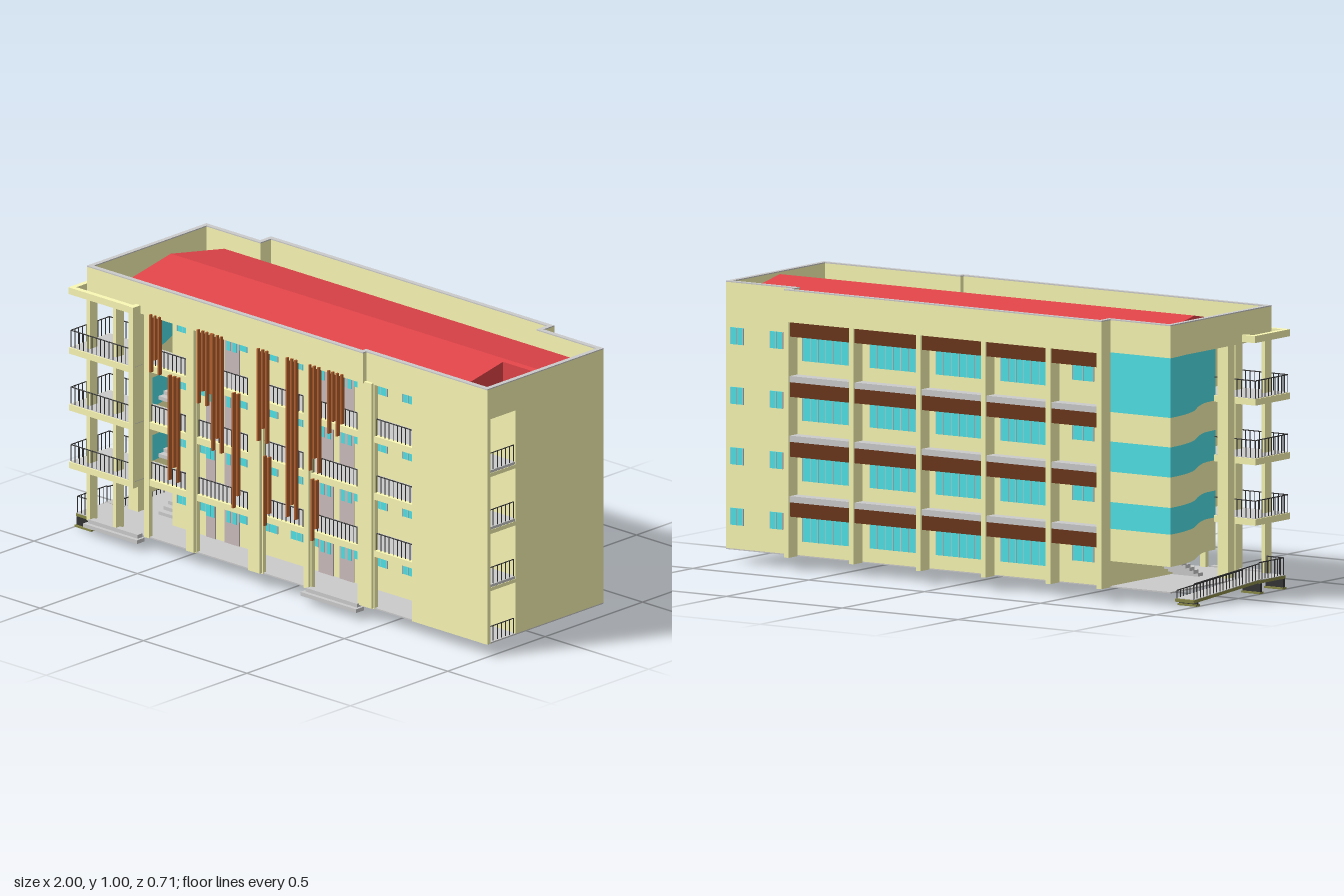
import * as THREE from 'three';

const mat = (color, double) => new THREE.MeshStandardMaterial({ color, side: double ? THREE.DoubleSide : THREE.FrontSide });
const WALL = mat(0xfbf9b5, true), GREY = mat(0xc8c8c8), RED = mat(0xe04448, true), BROWN = mat(0x6a3517), SLAT = mat(0xb5602f);
const GLASS = mat(0x4fe3e7, true), RAIL = mat(0x333333), DOOR = mat(0xcbbcbc), OLIVE = mat(0x8a8a48);

// Floor levels and ceiling levels of the four storeys
const FLOORS = [0.05, 0.265, 0.48, 0.692];
const CEILS = [0.242, 0.455, 0.668, 0.882];
// Openings of the front gallery: [x0, x1, door side]
const BAYS = [[-0.635, -0.45, 1], [-0.405, -0.15, -1], [-0.085, 0.12, 1], [0.15, 0.38, -1], [0.455, 0.635, 1]];

export function createModel() {
  const model = new THREE.Group();
  const group = (name) => {
    const g = new THREE.Group();
    g.name = name;
    model.add(g);
    return g;
  };
  // Box from its limits
  const box = (parent, name, m, x0, x1, y0, y1, z0, z1) => {
    const mesh = new THREE.Mesh(new THREE.BoxGeometry(x1 - x0, y1 - y0, z1 - z0), m);
    mesh.position.set((x0 + x1) / 2, (y0 + y1) / 2, (z0 + z1) / 2);
    mesh.name = name;
    parent.add(mesh);
    return mesh;
  };
  // Upright extrusion of a plan outline given as [x, z]; a hole runs the opposite way round
  const plan = (parent, name, m, pts, y0, y1, hole) => {
    const v = (list) => list.map(([x, z]) => new THREE.Vector2(x, -z));
    const shape = new THREE.Shape(v(pts));
    if (hole) shape.holes.push(new THREE.Path(v(hole).reverse()));
    const geo = new THREE.ExtrudeGeometry(shape, { depth: y1 - y0, bevelEnabled: false });
    geo.rotateX(-Math.PI / 2).translate(0, y0, 0);
    const mesh = new THREE.Mesh(geo, m);
    mesh.name = name;
    parent.add(mesh);
  };
  // Straight railing between two plan points, with separate end heights
  const railing = (parent, xa, za, xb, zb, ya, yb = ya, h = 0.062) => {
    const len = Math.hypot(xb - xa, zb - za), n = Math.max(2, Math.round(len / 0.02));
    for (let i = 0; i <= n; i++) {
      const t = i / n, x = xa + (xb - xa) * t, z = za + (zb - za) * t, y = ya + (yb - ya) * t;
      box(parent, 'baluster', RAIL, x - 0.0012, x + 0.0012, y, y + h, z - 0.0012, z + 0.0012);
    }
    const path = new THREE.LineCurve3(new THREE.Vector3(xa, ya + h, za), new THREE.Vector3(xb, yb + h, zb));
    const bar = new THREE.Mesh(new THREE.TubeGeometry(path, 1, 0.002, 6), RAIL);
    bar.name = 'handrail';
    parent.add(bar);
  };

  // Ground slab and entrance steps
  const base = group('base');
  box(base, 'groundSlab', GREY, -0.92, 1, 0.046, 0.051, -0.3, 0.294);
  for (const [x0, x1] of [[-0.92, -0.66], [0.13, 0.4]]) {
    box(base, 'lowerStep', GREY, x0, x1, 0.028, 0.042, 0.294, 0.333);
    box(base, 'upperStep', GREY, x0 + 0.01, x1 - 0.01, 0.042, 0.056, 0.294, 0.318);
  }

  // Main walls
  const walls = group('walls');
  box(walls, 'galleryWall', WALL, -0.66, 0.99, 0.05, 0.89, 0.135, 0.15);
  box(walls, 'backWall', WALL, -0.66, 1, 0.05, 0.89, -0.3, -0.285);
  box(walls, 'rightWall', WALL, 0.985, 1, 0.05, 0.89, -0.3, 0.153);
  box(walls, 'stairWall', WALL, -0.66, -0.645, 0.05, 0.89, -0.3, 0.15);

  // Front frame: piers, floor bands and gallery floors
  const frame = group('frontFrame');
  const edges = [-0.66, ...BAYS.flatMap(([a, b]) => [a, b]), 1];
  for (let i = 0; i < edges.length; i += 2) {
    box(frame, 'pier', WALL, edges[i], edges[i + 1], 0.046, 0.89, 0.28, 0.297);
    if (i > 0 && i < 10) box(frame, 'column', WALL, edges[i] + 0.004, edges[i + 1] - 0.004, 0.05, 0.89, 0.297, 0.309);
  }
  FLOORS.forEach((y, i) => {
    if (i) {
      box(frame, 'floorBand', WALL, -0.65, 0.64, CEILS[i - 1], y, 0.278, 0.296);
      box(frame, 'galleryFloor', GREY, -0.66, 0.998, y - 0.01, y, 0.15, 0.28);
      box(frame, 'galleryCeiling', WALL, -0.66, 1, CEILS[i - 1], y - 0.01, 0.15, 0.28);
      for (const [a, b] of BAYS) railing(frame, a, 0.286, b, 0.286, y);
    }
    railing(frame, 0.993, 0.155, 0.993, 0.28, y, y, i ? 0.062 : 0.057);
  });
  // Tall fin beside the corner balconies
  box(frame, 'cornerFin', WALL, -0.682, -0.66, 0.24, 0.915, 0.28, 0.353);

  // Gallery windows and doors
  const front = group('frontOpenings');
  for (const y of FLOORS) {
    for (const [a, b, side] of BAYS) {
      const d = b - a > 0.19 ? 0.07 : 0.045;
      const d0 = side > 0 ? b - d : a, w0 = side > 0 ? a : a + d, w1 = side > 0 ? b - d : b;
      box(front, 'window', GLASS, w0, w1, y + 0.092, y + 0.152, 0.145, 0.153);
      for (let k = 0; k <= 5; k++) {
        const x = w0 + ((w1 - w0) * k) / 5;
        box(front, 'mullion', GREY, x - 0.0012, x + 0.0012, y + 0.092, y + 0.152, 0.15, 0.155);
      }
      box(front, 'door', DOOR, d0, d0 + d, y, y + 0.152, 0.145, 0.154);
      for (const t of [0.28, 0.72])
        box(front, 'doorPane', GLASS, d0 + d * t - 0.009, d0 + d * t + 0.009, y + 0.08, y + 0.14, 0.15, 0.156);
    }
  }

  // Slender vertical slats in staggered clusters: [x, count, top, bottom]
  const slats = group('slats');
  const clusters = [[-0.61, 3, 0.895, 0.68], [-0.52, 3, 0.69, 0.3], [-0.38, 4, 0.895, 0.62], [-0.31, 3, 0.895, 0.46],
    [-0.21, 2, 0.7, 0.27], [-0.09, 3, 0.895, 0.55], [-0.06, 2, 0.5, 0.24], [0.05, 3, 0.895, 0.3], [0.16, 3, 0.895, 0.5], [0.25, 4, 0.895, 0.66], [0.17, 2, 0.47, 0.24]];
  for (const [x, n, top, low] of clusters)
    for (let k = 0; k < n; k++) {
      const s = x + k * 0.021;
      box(slats, 'slat', SLAT, s, s + 0.007, low + (k % 2) * 0.05, top, 0.309, 0.324);
    }

  // Back bays: fins, ledges, brown sun panels and windows
  const back = group('backBays');
  const fins = [-0.66, -0.43, -0.15, 0.13, 0.42, 0.71];
  for (const x of fins) {
    const c = Math.min(0.7, Math.max(-0.65, x));
    box(back, 'fin', WALL, c - 0.01, c + 0.01, 0.046, 0.89, -0.355, -0.285);
  }
  const backWindow = (x0, x1, y0, y1, panes) => {
    box(back, 'window', GLASS, x0, x1, y0, y1, -0.304, -0.296);
    for (let k = 0; k <= panes; k++) {
      const x = x0 + ((x1 - x0) * k) / panes;
      box(back, 'mullion', GREY, x - 0.0012, x + 0.0012, y0, y1, -0.3055, -0.3);
    }
  };
  FLOORS.forEach((y, i) => {
    box(back, 'sunPanel', BROWN, -0.65, 0.7, CEILS[i] - 0.05, CEILS[i] + 0.003, -0.347, -0.34);
    if (i) box(back, 'ledge', GREY, -0.65, 0.7, y - 0.022, y, -0.348, -0.3);
    for (let b = 0; b < 5; b++) {
      const m = (fins[b] + fins[b + 1]) / 2;
      if (b === 0) backWindow(m - 0.045, m + 0.045, y + 0.08, y + 0.14, 2);
      else backWindow(m - 0.1, m + 0.1, y + 0.05, y + 0.145, 6);
    }
    for (const x of [0.78, 0.95]) backWindow(x - 0.027, x + 0.027, y + 0.085, y + 0.145, 2);
  });

  // Wavy glazed wall at the left end, open at ground level
  const wave = group('wavyWall');
  const curve = new THREE.CatmullRomCurve3([[-0.92, -0.3], [-0.915, -0.22], [-0.89, -0.12], [-0.83, 0], [-0.8, 0.08], [-0.795, 0.148]]
    .map(([x, z]) => new THREE.Vector3(x, 0, z)));
  const outer = curve.getPoints(30).map((p) => [p.x, p.z]);
  const inner = outer.map(([x, z], i) => [x + 0.012, i ? z : z + 0.012]).reverse();
  const outline = [[-0.65, -0.3], ...outer, ...inner, [-0.65, -0.288]];
  [0.14, 0.255, 0.35, 0.458, 0.565, 0.67, 0.882, 0.9].forEach((y, i, a) => {
    if (i) plan(wave, i % 2 ? 'spandrel' : 'glassBand', i % 2 ? WALL : GLASS, outline, a[i - 1], y);
  });

  // Corner balconies with posts, railings and the crowning ring of beams
  const balcony = group('cornerBalconies');
  for (const y of FLOORS.slice(1)) {
    box(balcony, 'balconySlab', WALL, -0.975, -0.66, y - 0.025, y - 0.002, 0.14, 0.348);
    box(balcony, 'balconyFloor', GREY, -0.97, -0.66, y - 0.002, y, 0.145, 0.343);
    railing(balcony, -0.97, 0.342, -0.685, 0.342, y);
    railing(balcony, -0.97, 0.145, -0.97, 0.342, y);
    railing(balcony, -0.97, 0.145, -0.79, 0.145, y);
  }
  for (const [x, z, w] of [[-0.912, 0.295, 0.016], [-0.785, 0.295, 0.016], [-0.868, 0.11, 0.045]])
    box(balcony, 'post', WALL, x - w / 2, x + w / 2, 0.05, 0.89, z - 0.02, z + 0.02);
  box(balcony, 'ringFront', WALL, -0.975, -0.66, 0.89, 0.915, 0.33, 0.35);
  box(balcony, 'ringLeft', WALL, -0.975, -0.955, 0.89, 0.915, 0.14, 0.34);
  box(balcony, 'ringBack', WALL, -0.975, -0.915, 0.89, 0.915, 0.135, 0.153);

  // Stair flights seen through the corner
  const stairs = group('stairs');
  FLOORS.slice(0, 3).forEach((y) => {
    for (let k = 0; k < 8; k++)
      box(stairs, 'step', GREY, -0.775, -0.665, y + k * 0.013, y + (k + 1) * 0.013, 0.07 - k * 0.025, 0.1 - k * 0.025);
    box(stairs, 'landing', GREY, -0.86, -0.66, y + 0.095, y + 0.107, -0.285, -0.125);
  });

  // Roof deck, parapet and coping
  const top = group('roof');
  const rim = (d) => [[-0.92 + d, -0.3 + d], [-0.66 + d, -0.3 + d], [-0.66 + d, -0.355 + d], [0.71 - d, -0.355 + d], [0.71 - d, -0.3 + d],
    [1 - d, -0.3 + d], [1 - d, 0.297 - d], [0.415 - d, 0.297 - d], [0.415 - d, 0.314 - d], [-0.92 + d, 0.314 - d]];
  plan(top, 'roofDeck', GREY, rim(0.004), 0.886, 0.9);
  plan(top, 'parapet', WALL, rim(0), 0.884, 0.996, rim(0.016));
  plan(top, 'coping', GREY, rim(0), 0.996, 1, rim(0.018));
  // Shallow gable with a notch at the front right corner
  const gable = (name, x0, x1, z1) => {
    const yAt = (z) => 0.99 - Math.abs(z) * 0.19;
    const s = new THREE.Shape();
    [[0.275, 0.9], [0.275, yAt(0.275)], [0, 0.99], [-z1, yAt(z1)], [-z1, 0.9]].forEach(([u, v], i) => (i ? s.lineTo(u, v) : s.moveTo(u, v)));
    const geo = new THREE.ExtrudeGeometry(s, { depth: x1 - x0, bevelEnabled: false });
    geo.rotateY(Math.PI / 2).translate(x0, 0, 0);
    const mesh = new THREE.Mesh(geo, RED);
    mesh.name = name;
    top.add(mesh);
  };
  gable('mainGable', -0.81, 0.815, 0.255);
  gable('notchedGable', 0.815, 0.98, 0.02);

  // Access ramp along the left side
  const ramp = group('ramp');
  box(ramp, 'rampLanding', OLIVE, -1, -0.92, 0.038, 0.049, 0.13, 0.285);
  box(ramp, 'landingTop', GREY, -1, -0.92, 0.049, 0.051, 0.13, 0.285);
  const slope = box(ramp, 'rampSlope', OLIVE, -1, -0.92, 0.027, 0.038, -0.272, 0.135);
  const slopeTop = box(ramp, 'slopeTop', GREY, -1, -0.92, 0.038, 0.04, -0.265, 0.135);
  slope.rotation.x = slopeTop.rotation.x = -0.068;
  for (const z of [0.28, 0.14, -0.245]) {
    box(ramp, 'rampSupport', RAIL, -0.998, -0.922, 0.005, z < 0 ? 0.02 : 0.042, z - 0.005, z + 0.005);
    box(ramp, 'rampFooting', OLIVE, -1, -0.92, 0, 0.007, z - 0.012, z + 0.012);
  }
  for (const x of [-0.996, -0.924]) railing(ramp, x, 0.13, x, -0.265, 0.05, 0.024, x < -0.95 ? 0.058 : 0.03);
  railing(ramp, -0.996, 0.13, -0.996, 0.28, 0.05);
  railing(ramp, -0.996, 0.28, -0.924, 0.28, 0.05);

  return model;
}
